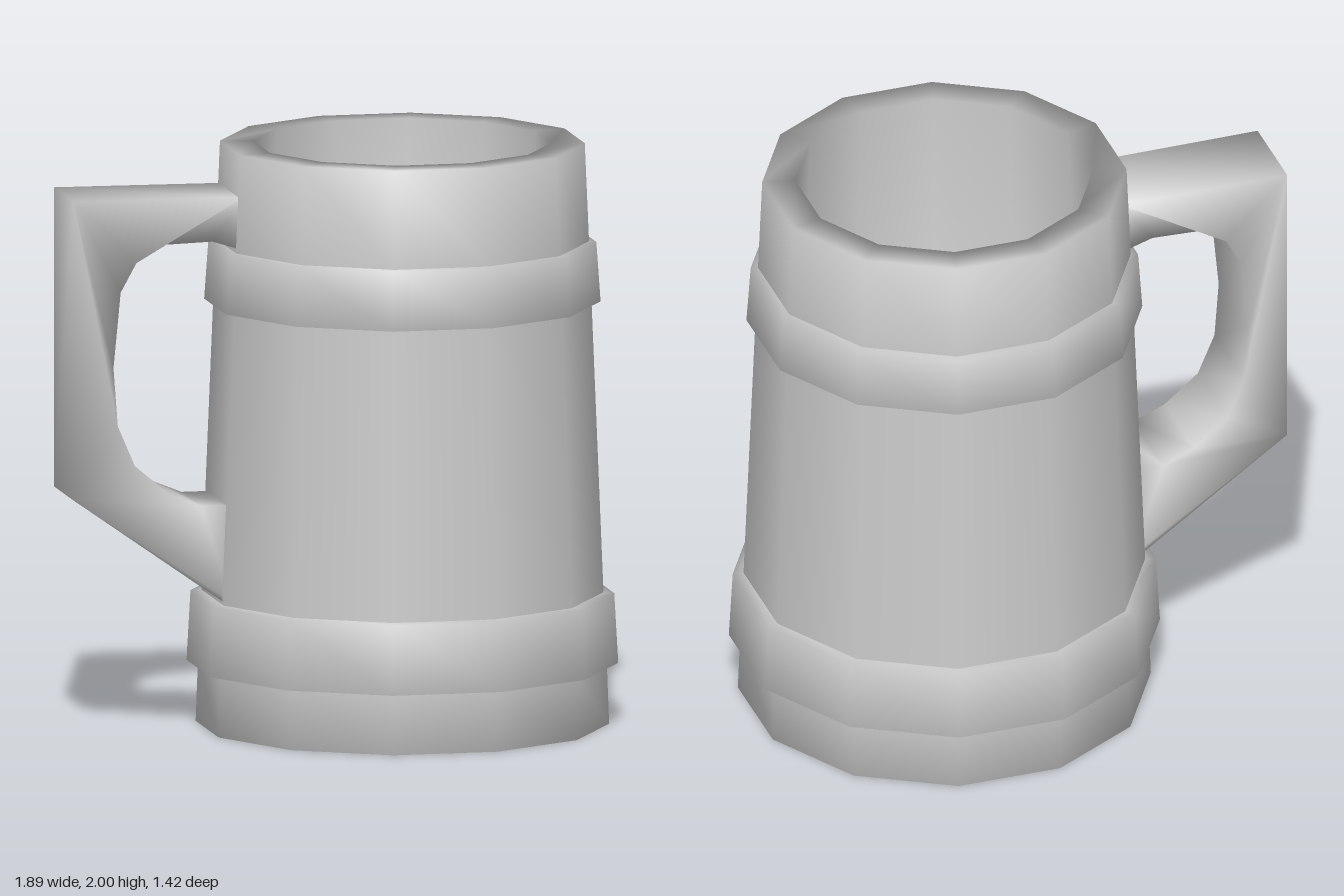
import * as THREE from 'three';
import { mergeVertices } from 'three/addons/utils/BufferGeometryUtils.js';

const SIDES = 12;
const MUG_X = 0.235;

export function createModel() {
  const group = new THREE.Group();
  const material = new THREE.MeshStandardMaterial({ color: 0xcccccc });

  const add = (name, geometry, x = 0) => {
    const mesh = new THREE.Mesh(geometry, material);
    mesh.name = name;
    mesh.position.x = x;
    group.add(mesh);
  };

  // Twelve-sided turned part; radii are measured to the middle of each flat side
  const turn = (profile) => {
    const k = 1 / Math.cos(Math.PI / SIDES);
    const points = profile.map(([r, y]) => new THREE.Vector2(r * k, y));
    return new THREE.LatheGeometry(points, SIDES, Math.PI / SIDES);
  };

  // Tapered body: base, outer wall, flat rim, inner wall and floor
  add('body', turn([
    [0, 0], [0.60, 0], [0.68, 0], [0.672, 0.22], [0.662, 0.44], [0.622, 1.46],
    [0.614, 1.66], [0.60, 2], [0.49, 2], [0.56, 0.12], [0, 0.12],
  ]), MUG_X);

  // Raised hoops around the body
  const hoop = (y0, r0, y1, r1) => turn([
    [r0 - 0.06, y0 + 0.01], [r0, y0], [r1, y1], [r1 - 0.06, y1 + 0.005],
  ]);
  add('lowerHoop', hoop(0.21, 0.71, 0.45, 0.697), MUG_X);
  add('upperHoop', hoop(1.455, 0.652, 1.66, 0.638), MUG_X);

  // Handle: angular outside, rounded grip opening, smooth normals
  const outline = [
    [-0.35, 1.855], [-0.945, 1.86], [-0.945, 0.83], [-0.42, 0.46], [-0.39, 0.46],
    [-0.39, 0.795], [-0.50, 0.795], [-0.61, 0.84], [-0.73, 0.94], [-0.79, 1.08],
    [-0.805, 1.28], [-0.78, 1.54], [-0.725, 1.64], [-0.62, 1.70], [-0.46, 1.705],
    [-0.35, 1.67],
  ];
  const shape = new THREE.Shape(outline.map(([x, y]) => new THREE.Vector2(x, y)));
  let handle = new THREE.ExtrudeGeometry(shape, { depth: 0.31, bevelEnabled: false });
  handle.translate(0, 0, -0.155);
  handle.deleteAttribute('normal');
  handle.deleteAttribute('uv');
  handle = mergeVertices(handle);
  handle.computeVertexNormals();
  add('handle', handle);

  return group;
}
